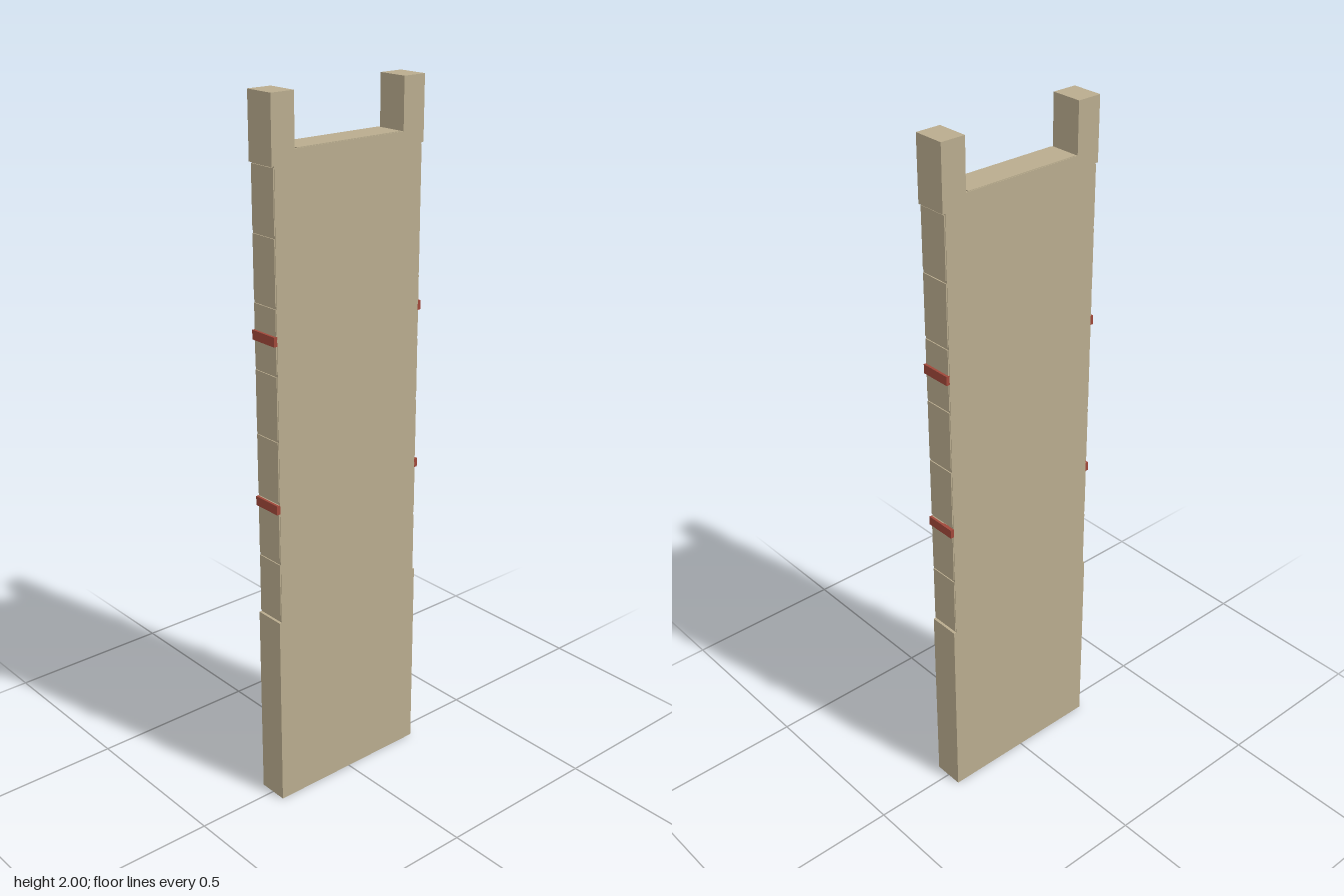
import * as THREE from 'three';

export function createModel() {
  const model = new THREE.Group();
  model.name = 'battlementWall';
  const stone = new THREE.MeshStandardMaterial({ color: 0xb9ac8e });
  stone.name = 'sandstone';
  const red = new THREE.MeshStandardMaterial({ color: 0xa0483a });
  red.name = 'redBand';

  const W = 0.09; // wall thickness along x

  function box(name, w, y0, y1, z0, z1, material) {
    const mesh = new THREE.Mesh(new THREE.BoxGeometry(w, y1 - y0, z1 - z0), material);
    mesh.position.set(0, (y0 + y1) / 2, (z0 + z1) / 2);
    mesh.name = name;
    model.add(mesh);
  }

  // One solid slab: wide foot, narrower shaft, wide crown with a notch
  const half = [[0.253, 0], [0.253, 0.575], [0.245, 0.575], [0.245, 1.825],
    [0.253, 1.825], [0.253, 2], [0.181, 2], [0.181, 1.86]];
  const outline = [...half, ...half.map(([z, y]) => [-z, y]).reverse()];
  const shape = new THREE.Shape(outline.map(([z, y]) => new THREE.Vector2(z, y)));
  const slab = new THREE.ExtrudeGeometry(shape, { depth: W, bevelEnabled: false });
  slab.translate(0, 0, -W / 2);
  slab.rotateY(-Math.PI / 2);
  const wall = new THREE.Mesh(slab, stone);
  wall.name = 'wall';
  model.add(wall);

  // Shallow stone courses on both narrow ends, separated by fine joints
  const joints = [0.575, 0.755, 0.932, 1.11, 1.29, 1.47, 1.65, 1.825];
  for (const side of [1, -1]) {
    for (let i = 0; i < joints.length - 1; i++) {
      const z = [side * 0.244, side * 0.248].sort((a, b) => a - b);
      box('course', W - 0.003, joints[i] + 0.004, joints[i + 1] - 0.004, z[0], z[1], stone);
    }
    // Red string bands
    for (const y of [0.915, 1.382]) {
      const z = [side * 0.244, side * 0.255].sort((a, b) => a - b);
      box('redBand', W, y - 0.013, y + 0.013, z[0], z[1], red);
    }
  }

  // Thin floor plate in the notch
  box('notchFloor', W - 0.003, 1.859, 1.862, -0.173, 0.173, stone);
  return model;
}
